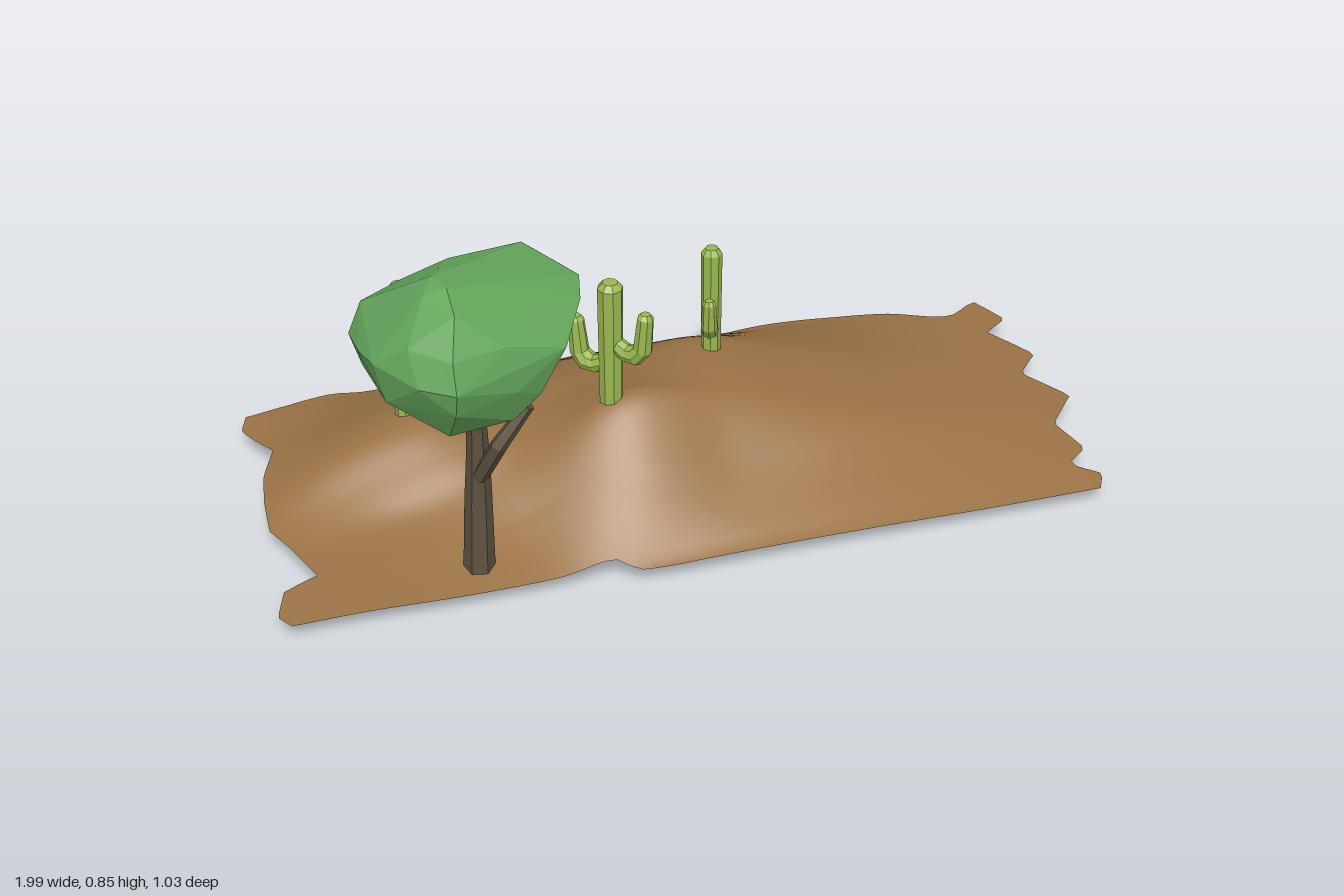
import * as THREE from 'three';
import { ConvexGeometry } from 'three/addons/geometries/ConvexGeometry.js';

const V = (x, y, z) => new THREE.Vector3(x, y, z);
const flat = (color) => new THREE.MeshStandardMaterial({ color, flatShading: true });
const soil = new THREE.MeshStandardMaterial({ color: 0x9b7346, side: THREE.DoubleSide });
const bark = flat(0x5c5140), leaf = flat(0x65a65c), cactusGreen = flat(0x9ab850);

function part(name, geometry, material) {
  const mesh = new THREE.Mesh(geometry, material);
  mesh.name = name;
  return mesh;
}

// Smooth (cubic) or straight interpolation through unevenly spaced nodes
function curveAt(xs, ys, x, smooth = true) {
  const n = xs.length;
  x = Math.min(Math.max(x, xs[0]), xs[n - 1]);
  let i = 0;
  while (i < n - 2 && x > xs[i + 1]) i++;
  const h = xs[i + 1] - xs[i], t = (x - xs[i]) / h;
  if (!smooth) return ys[i] + (ys[i + 1] - ys[i]) * t;
  const slope = (k) => {
    const a = Math.max(k - 1, 0), b = Math.min(k + 1, n - 1);
    return (ys[b] - ys[a]) / (xs[b] - xs[a]);
  };
  const t2 = t * t, t3 = t2 * t;
  return (2 * t3 - 3 * t2 + 1) * ys[i] + (t3 - 2 * t2 + t) * h * slope(i)
    + (3 * t2 - 2 * t3) * ys[i + 1] + (t3 - t2) * h * slope(i + 1);
}

// Faceted limb: rings of given radii along a path, closed at both ends
function limb(path, radii, sides, ref) {
  const pos = [], idx = [], n = path.length;
  path.forEach((p, i) => {
    const t = path[Math.min(i + 1, n - 1)].clone().sub(path[Math.max(i - 1, 0)]).normalize();
    const a = ref.clone().addScaledVector(t, -ref.dot(t)).normalize();
    const b = t.clone().cross(a);
    for (let j = 0; j < sides; j++) {
      const ang = (j / sides) * Math.PI * 2;
      const q = p.clone().addScaledVector(a, Math.cos(ang) * radii[i]).addScaledVector(b, Math.sin(ang) * radii[i]);
      pos.push(q.x, q.y, q.z);
    }
  });
  const end = n * sides;
  pos.push(...path[0].toArray(), ...path[n - 1].toArray());
  for (let j = 0; j < sides; j++) {
    const k = (j + 1) % sides, top = (n - 1) * sides;
    for (let i = 0; i < n - 1; i++) {
      const r = i * sides, s = r + sides;
      idx.push(r + j, r + k, s + k, r + j, s + k, s + j);
    }
    idx.push(end, k, j, end + 1, top + j, top + k);
  }
  const g = new THREE.BufferGeometry();
  g.setAttribute('position', new THREE.Float32BufferAttribute(pos, 3));
  g.setIndex(idx);
  g.computeVertexNormals();
  return g;
}

// Ground height control: one row of heights along z for each x
const groundX = [-1, -0.8, -0.6, -0.4, -0.15, 0.1, 0.35, 0.65, 1];
const groundZ = [-0.5, -0.35, -0.2, -0.1, 0, 0.08, 0.2, 0.36];
const heights = [
  [0.055, 0.05, 0.05, 0.05, 0.05, 0.05, 0.05, 0.045],
  [0.06, 0.095, 0.14, 0.15, 0.1, 0.07, 0.06, 0.05],
  [0.065, 0.14, 0.205, 0.21, 0.155, 0.1, 0.07, 0.045],
  [0.07, 0.14, 0.195, 0.202, 0.195, 0.165, 0.1, 0.045],
  [0.07, 0.165, 0.235, 0.265, 0.3, 0.318, 0.205, 0.05],
  [0.07, 0.175, 0.27, 0.288, 0.285, 0.265, 0.155, 0.055],
  [0.07, 0.15, 0.205, 0.213, 0.205, 0.19, 0.125, 0.055],
  [0.065, 0.095, 0.117, 0.12, 0.117, 0.111, 0.086, 0.05],
  [0.06, 0.06, 0.06, 0.06, 0.06, 0.06, 0.06, 0.05],
];
const groundHeight = (x, z) => curveAt(groundX, heights.map((row) => curveAt(groundZ, row, z)), x);

// Open sheet of earth with ragged ends
function ground() {
  const g = new THREE.PlaneGeometry(1, 1, 72, 48).rotateX(-Math.PI / 2);
  const p = g.attributes.position;
  for (let i = 0; i < p.count; i++) {
    const u = p.getX(i) + 0.5, v = p.getZ(i) + 0.5;
    const x0 = -0.96 + 1.92 * u, z0 = -0.5 + 0.86 * v;
    const left = curveAt([-0.5, -0.44, -0.3, -0.2, -0.1, 0, 0.08, 0.2, 0.23, 0.32, 0.36],
      [-0.94, -0.96, -0.905, -0.945, -0.96, -0.965, -0.93, -0.89, -0.97, -1, -0.975], z0, false);
    const right = curveAt([-0.5, -0.4, -0.34, -0.22, -0.13, -0.02, 0.1, 0.21, 0.26, 0.31, 0.36],
      [0.93, 0.975, 0.905, 0.985, 0.915, 1, 0.91, 0.945, 0.885, 0.95, 0.925], z0, false);
    const x = left + (right - left) * u;
    const back = curveAt([-0.95, -0.75, -0.65, -0.3, -0.22, -0.08, 0.07, 0.4, 0.7, 0.86, 0.95],
      [-0.48, -0.515, -0.5, -0.51, -0.485, -0.51, -0.47, -0.51, -0.48, -0.42, -0.475], x0);
    const front = curveAt([-1, -0.35, -0.22, -0.16, 0, 0.95], [0.345, 0.345, 0.335, 0.365, 0.37, 0.36], x0);
    const z = back + (front - back) * v;
    p.setXYZ(i, x, groundHeight(x, z), z);
  }
  g.computeVertexNormals();
  return part('ground', g, soil);
}

// Cactus with a low arm towards (dx, dz) and a higher arm opposite
function cactus(x, z, base, top, scale, dx, dz) {
  const group = new THREE.Group();
  group.name = 'cactus';
  const out = V(dx, 0, dz).normalize(), side = V(-out.z, 0, out.x);
  const r = 0.03 * scale;
  group.add(part('cactusTrunk', limb(
    [V(0, base, 0), V(0, base + 0.012, 0), V(0, top - 0.014, 0), V(0, top, 0)],
    [r * 0.6, r * 0.9, r, r * 0.6], 8, side), cactusGreen));
  [[1, 0.24, 0.115], [-1, 0.185, 0.055]].forEach(([sign, attach, tip]) => {
    const at = (d, y) => out.clone().multiplyScalar(sign * d * scale).setY(top - y * scale);
    const a = 0.019 * scale;
    group.add(part('cactusArm', limb(
      [at(0.01, attach - 0.03), at(0.04, attach - 0.012), at(0.066, attach - 0.014), at(0.084, attach - 0.035),
        at(0.092, tip + 0.01), at(0.092, tip)],
      [a, a * 1.15, a * 1.3, a * 1.2, a, a * 0.6], 8, side), cactusGreen));
  });
  group.position.set(x, 0, z);
  return group;
}

function tree() {
  const group = new THREE.Group();
  group.name = 'tree';
  const ref = V(1, 0, 0.2);
  group.add(part('trunk', limb(
    [V(-0.535, 0.003, 0.26), V(-0.535, 0.018, 0.26), V(-0.535, 0.055, 0.26), V(-0.53, 0.24, 0.255),
      V(-0.528, 0.36, 0.26), V(-0.53, 0.56, 0.267)],
    [0.008, 0.037, 0.036, 0.031, 0.026, 0.017], 6, ref), bark));
  group.add(part('frontBranch', limb(
    [V(-0.527, 0.31, 0.27), V(-0.495, 0.42, 0.325), V(-0.43, 0.51, 0.328), V(-0.455, 0.57, 0.312)],
    [0.02, 0.02, 0.015, 0.009], 5, V(0, 0, 1)), bark));
  group.add(part('backBranch', limb(
    [V(-0.528, 0.43, 0.26), V(-0.5, 0.5, 0.21), V(-0.48, 0.57, 0.15)],
    [0.014, 0.011, 0.008], 5, V(1, 0, 0)), bark));
  // Faceted crown
  const crown = [
    [-0.6, 0.857, 0.36], [-0.62, 0.855, 0.3], [-0.65, 0.84, 0.35], [-0.6, 0.83, 0.43], [-0.5, 0.82, 0.2],
    [-0.38, 0.785, 0.1], [-0.68, 0.79, 0.25], [-0.55, 0.795, 0.14], [-0.282, 0.755, 0.22], [-0.3, 0.745, 0.3],
    [-0.62, 0.755, 0.49], [-0.7, 0.76, 0.42], [-0.345, 0.74, 0.06], [-0.75, 0.74, 0.17], [-0.62, 0.69, 0.518],
    [-0.782, 0.67, 0.18], [-0.778, 0.68, 0.27], [-0.69, 0.69, 0.47], [-0.38, 0.67, 0.04], [-0.55, 0.69, 0.068],
    [-0.36, 0.7, 0.41], [-0.74, 0.67, 0.12], [-0.76, 0.6, 0.2], [-0.62, 0.63, 0.5], [-0.74, 0.6, 0.36],
    [-0.37, 0.59, 0.12], [-0.35, 0.61, 0.28], [-0.42, 0.6, 0.42], [-0.6, 0.6, 0.09], [-0.7, 0.6, 0.13],
    [-0.7, 0.54, 0.25], [-0.58, 0.507, 0.33], [-0.45, 0.52, 0.29], [-0.5, 0.535, 0.15], [-0.62, 0.53, 0.42],
    [-0.48, 0.545, 0.42], [-0.62, 0.535, 0.16], [-0.46, 0.815, 0.3], [-0.315, 0.68, 0.2], [-0.5, 0.75, 0.45],
    [-0.48, 0.64, 0.46], [-0.765, 0.7, 0.36], [-0.46, 0.73, 0.045], [-0.49, 0.6, 0.07], [-0.65, 0.745, 0.115],
  ].map((c) => V(...c));
  group.add(part('crown', new ConvexGeometry(crown), leaf));
  return group;
}

export function createModel() {
  const model = new THREE.Group();
  model.name = 'desertHill';
  model.add(ground(), tree());
  model.add(cactus(-0.17, 0.055, 0.27, 0.62, 1, -0.08, -0.085));
  model.add(cactus(0.123, -0.13, 0.25, 0.555, 0.84, -0.03, 0.08));
  model.add(cactus(-0.607, -0.17, 0.18, 0.56, 0.86, -0.065, 0.05));
  return model;
}
